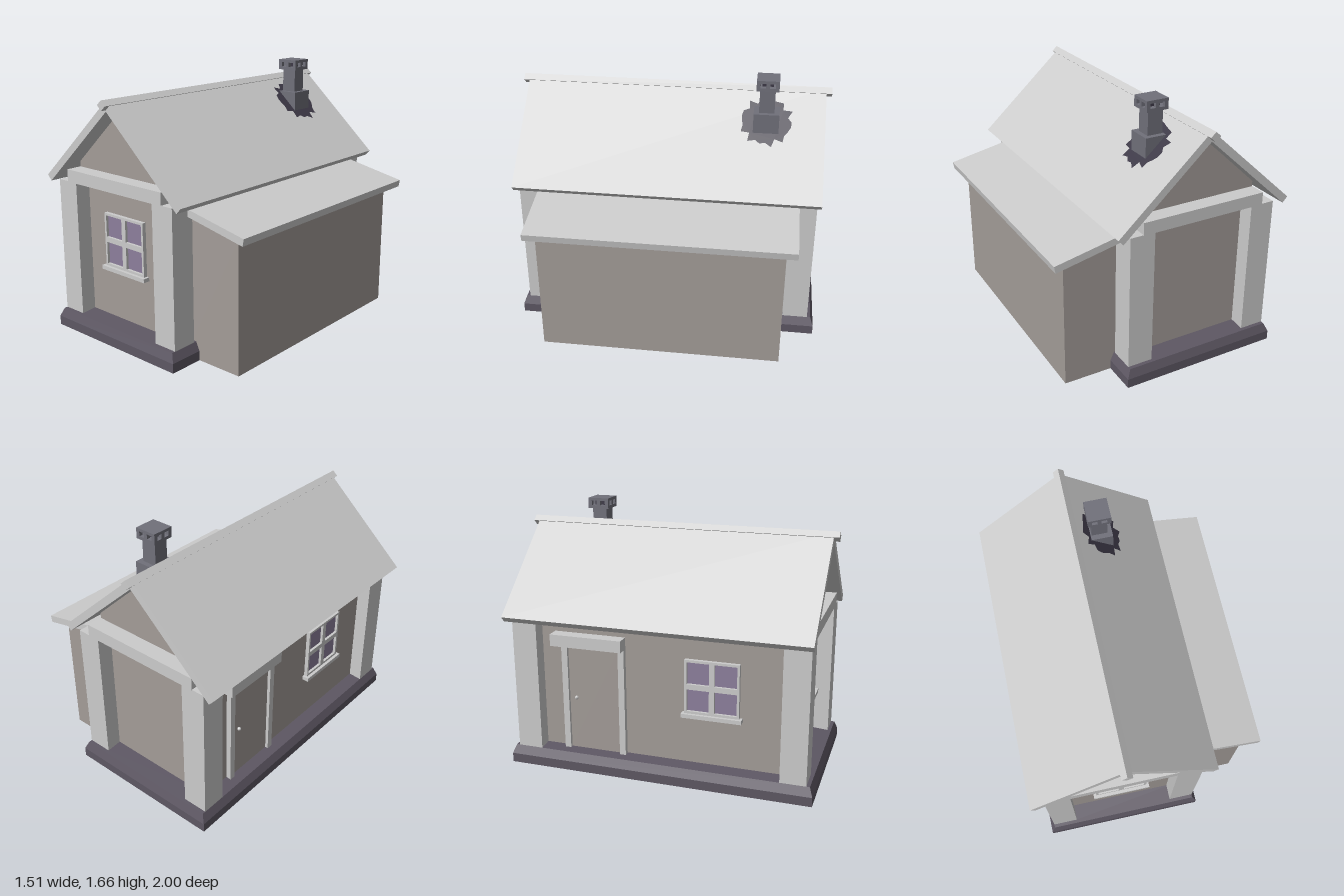
import * as THREE from 'three';

const paint = (color = 0xcccccc) => new THREE.MeshStandardMaterial({ color, side: THREE.DoubleSide, flatShading: true });
const GREY = paint();
const WALL = paint(0xa39c98);
const STONE = paint(0x5d5763);
const SOOT = paint(0x70707a);
const DARK = paint(0x3c3846);
const GLASS = paint(0x8d7f9c);
const CX = -0.165; // centre line of the main house

function add(parent, name, geometry, material = GREY) {
  const mesh = new THREE.Mesh(geometry, material);
  mesh.name = name;
  parent.add(mesh);
  return mesh;
}

// Box given by its minimum and maximum corners
function block(parent, name, [x0, y0, z0], [x1, y1, z1], material) {
  const mesh = add(parent, name, new THREE.BoxGeometry(x1 - x0, y1 - y0, z1 - z0), material);
  mesh.position.set((x0 + x1) / 2, (y0 + y1) / 2, (z0 + z1) / 2);
  return mesh;
}

const outline = (pts) => new THREE.Shape(pts.map(([x, y]) => new THREE.Vector2(x, y)));
const rect = (x0, y0, x1, y1) => [[x0, y0], [x1, y0], [x1, y1], [x0, y1]];

// Outline in the x-y plane drawn out from z0 to z1
function prism(parent, name, pts, z0, z1, material) {
  const geometry = new THREE.ExtrudeGeometry(outline(pts), { depth: z1 - z0, bevelEnabled: false });
  const mesh = add(parent, name, geometry, material);
  mesh.position.z = z0;
  return mesh;
}

// Open skin through rectangular rings, each given as [half width, half depth, height]
function rings(levels) {
  const pos = [], index = [];
  for (const [w, d, y] of levels) pos.push(-w, y, d, w, y, d, w, y, -d, -w, y, -d);
  for (let r = 0; r < levels.length - 1; r++) {
    for (let i = 0; i < 4; i++) {
      const a = r * 4 + i, b = r * 4 + (i + 1) % 4;
      index.push(a, b, b + 4, a, b + 4, a + 4);
    }
  }
  const geometry = new THREE.BufferGeometry();
  geometry.setAttribute('position', new THREE.Float32BufferAttribute(pos, 3));
  geometry.setIndex(index);
  const flat = geometry.toNonIndexed();
  flat.computeVertexNormals();
  return flat;
}

// Four-pane window in its own x-y plane, facing +z
function makeWindow() {
  const win = new THREE.Group();
  win.name = 'window';
  const frame = outline(rect(-0.172, -0.172, 0.172, 0.172));
  for (const sx of [-1, 1]) for (const sy of [-1, 1]) {
    frame.holes.push(outline(rect(sx * 0.087 - 0.07, sy * 0.087 - 0.07, sx * 0.087 + 0.07, sy * 0.087 + 0.07)));
  }
  add(win, 'windowFrame', new THREE.ExtrudeGeometry(frame, { depth: 0.025, bevelEnabled: false }));
  add(win, 'windowPanes', new THREE.PlaneGeometry(0.32, 0.32), GLASS).position.z = 0.008;
  block(win, 'windowSill', [-0.19, -0.197, 0], [0.19, -0.172, 0.045]);
  return win;
}

function makeHouse() {
  const house = new THREE.Group();
  house.name = 'mainHouse';
  house.position.x = CX;

  // Chamfered plinth, open in the middle
  add(house, 'plinth', rings([
    [0.42, 0.85, 0], [0.525, 0.985, 0], [0.525, 0.985, 0.06], [0.5, 0.965, 0.115], [0.405, 0.84, 0.125], [0.42, 0.85, 0],
  ]), STONE);

  // Walls, gables, corner posts and tie beams
  for (const s of [-1, 1]) {
    const end = outline([[-0.412, 0.11], [0.412, 0.11], [0.412, 1.1], [0, 1.48], [-0.412, 1.1]]);
    add(house, 'gableWall', new THREE.ShapeGeometry(end), WALL).position.z = s * 0.842;
    const side = add(house, 'sideWall', new THREE.PlaneGeometry(1.684, 0.99), WALL);
    side.rotation.y = s * Math.PI / 2;
    side.position.set(s * 0.412, 0.605, 0);
    block(house, 'tieBeam', [-0.415, 0.985, s * 0.865 - 0.08], [0.415, 1.065, s * 0.865 + 0.08]);
    for (const t of [-1, 1]) {
      block(house, 'cornerPost', [s * 0.419 - 0.081, 0.11, t * 0.862 - 0.081], [s * 0.419 + 0.081, 0.988, t * 0.862 + 0.081]);
    }
  }

  // Pitched roof and the projecting ridge pole
  prism(house, 'roof', [[0, 1.54], [0.59, 1.007], [0.558, 0.972], [0, 1.477], [-0.558, 0.972], [-0.59, 1.007]], -0.965, 0.965);
  prism(house, 'ridgePole', [[0, 1.547], [0.034, 1.516], [0, 1.485], [-0.034, 1.516]], -1, 1);

  // Front and side windows
  const frontWindow = makeWindow();
  frontWindow.position.set(0, 0.642, 0.842);
  const sideWindow = makeWindow();
  sideWindow.position.set(-0.412, 0.63, 0.34);
  sideWindow.rotation.y = -Math.PI / 2;
  house.add(frontWindow, sideWindow);

  // Door with jambs, lintel and knob
  const door = new THREE.Group();
  door.name = 'door';
  house.add(door);
  block(door, 'doorLeaf', [-0.425, 0.12, -0.6], [-0.41, 0.82, -0.26], WALL);
  for (const z of [-0.64, -0.26]) block(door, 'doorJamb', [-0.445, 0.12, z], [-0.41, 0.82, z + 0.04]);
  block(door, 'doorLintel', [-0.495, 0.82, -0.69], [-0.41, 0.895, -0.22]);
  add(door, 'doorKnob', new THREE.SphereGeometry(0.012, 8, 6)).position.set(-0.437, 0.47, -0.55);
  return house;
}

function makeLeanTo() {
  const leanTo = new THREE.Group();
  leanTo.name = 'leanTo';
  for (const z of [-0.768, 0.762]) {
    const end = outline([[0.247, 0], [0.67, 0], [0.67, 0.835], [0.247, 0.925]]);
    add(leanTo, 'leanToEndWall', new THREE.ShapeGeometry(end), WALL).position.z = z;
  }
  const side = add(leanTo, 'leanToSideWall', new THREE.PlaneGeometry(1.53, 0.835), WALL);
  side.rotation.y = Math.PI / 2;
  side.position.set(0.67, 0.4175, -0.003);
  prism(leanTo, 'leanToRoof', [[0.247, 0.975], [0.247, 0.93], [0.747, 0.825], [0.755, 0.87]], -0.835, 0.82);
  return leanTo;
}

function makeChimney() {
  const chimney = new THREE.Group();
  chimney.name = 'chimney';
  chimney.position.set(0.005, 0, -0.597);
  block(chimney, 'chimneyFoot', [-0.075, 1.3, -0.08], [0.08, 1.442, 0.08], SOOT);
  block(chimney, 'chimneyStack', [-0.05, 1.44, -0.048], [0.05, 1.6, 0.048], SOOT);

  // Vented cap: tray, small posts and lid
  block(chimney, 'capTray', [-0.072, 1.592, -0.07], [0.072, 1.612, 0.07], SOOT);
  block(chimney, 'capLid', [-0.072, 1.642, -0.07], [0.072, 1.66, 0.07], SOOT);
  block(chimney, 'capCore', [-0.035, 1.612, -0.035], [0.035, 1.642, 0.035], DARK);
  for (const x of [-1, 0, 1]) for (const z of [-1, 0, 1]) {
    if (!x && !z) continue;
    block(chimney, 'capPost', [x * 0.06 - 0.012, 1.612, z * 0.058 - 0.012], [x * 0.06 + 0.012, 1.642, z * 0.058 + 0.012], SOOT);
  }
  return chimney;
}

// Ragged soot mark lying on the right roof slope
function makeSootMark() {
  const pts = [];
  for (let i = 0; i < 28; i++) {
    const a = (i / 28) * Math.PI * 2;
    const r = 0.145 + (i % 2) * 0.02 + 0.015 * Math.sin(i * 2.3);
    pts.push([Math.cos(a) * r, Math.sin(a) * r]);
  }
  const geometry = new THREE.ShapeGeometry(outline(pts));
  geometry.rotateX(-Math.PI / 2);
  const mark = new THREE.Mesh(geometry, DARK);
  mark.name = 'sootMark';
  const slope = Math.atan2(0.533, 0.59);
  mark.rotation.z = -slope;
  mark.position.set(0.025, 1.54 - (0.025 - CX) * Math.tan(slope) + 0.004, -0.597);
  return mark;
}

export function createModel() {
  const model = new THREE.Group();
  model.name = 'cottage';
  model.add(makeHouse(), makeLeanTo(), makeChimney(), makeSootMark());
  return model;
}
